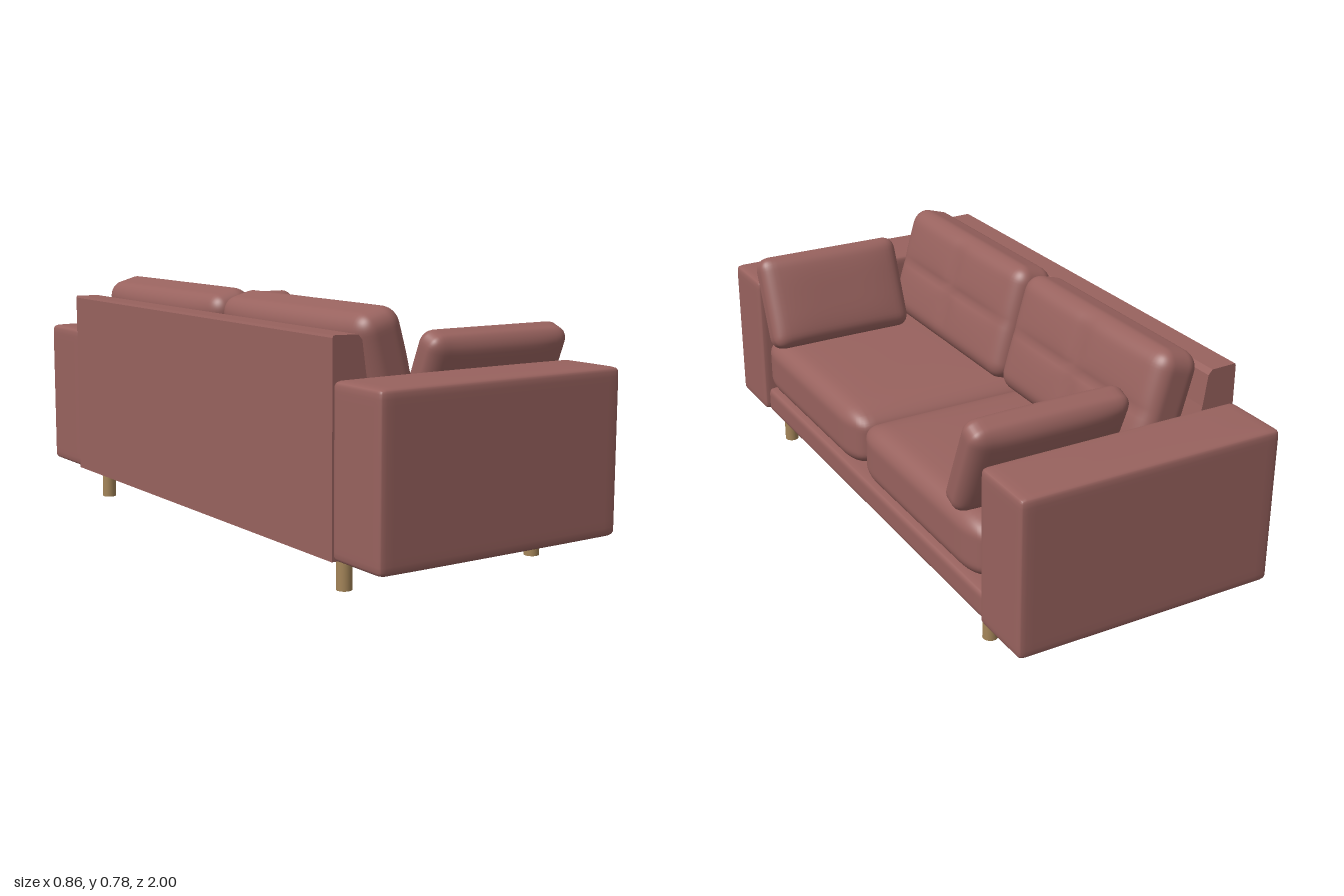
import * as THREE from 'three';
import { mergeVertices } from 'three/addons/utils/BufferGeometryUtils.js';

const fabric = new THREE.MeshStandardMaterial({ color: 0x98625e });
fabric.name = 'rose fabric';
const wood = new THREE.MeshStandardMaterial({ color: 0xa48559 });
wood.name = 'light wood';

// Rounded block; the faces along `axis` thin out towards their edges by `crown`.
function softBlock(size, radius, { axis = 'y', crown = 0, segments = 28, tuft = false } = {}) {
  const geo = new THREE.BoxGeometry(2, 2, 2, segments, segments, segments);
  geo.deleteAttribute('uv');
  geo.deleteAttribute('normal');
  const half = new THREE.Vector3(...size).multiplyScalar(0.5);
  const inner = half.clone().subScalar(radius);
  const outer = inner.clone().negate();
  const p = geo.attributes.position;
  const v = new THREE.Vector3();
  const q = new THREE.Vector3();
  for (let i = 0; i < p.count; i++) {
    v.fromBufferAttribute(p, i);
    // crowd the grid towards the edges so that they round smoothly
    v.set(Math.sin(v.x * Math.PI / 2), Math.sin(v.y * Math.PI / 2), Math.sin(v.z * Math.PI / 2)).multiply(half);
    q.copy(v).clamp(outer, inner);
    v.sub(q).setLength(radius).add(q);
    let flat = 1;
    for (const a of ['x', 'y', 'z']) if (a !== axis) flat *= 1 - (v[a] / half[a]) ** 4;
    v[axis] *= 1 - crown * (1 - flat);
    // stitched cross on the front face
    if (tuft && v.x > 0) {
      const groove = Math.max(Math.exp(-Math.abs(v.y) / 0.02), Math.exp(-Math.abs(v.z) / 0.03));
      v.x -= 0.01 * groove * flat;
    }
    p.setXYZ(i, v.x, v.y, v.z);
  }
  const smooth = mergeVertices(geo, 1e-5);
  smooth.computeVertexNormals();
  return smooth;
}

export function createModel() {
  const sofa = new THREE.Group();
  sofa.name = 'sofa';

  function add(name, geometry, material, x, y, z) {
    const mesh = new THREE.Mesh(geometry, material);
    mesh.name = name;
    mesh.position.set(x, y, z);
    sofa.add(mesh);
    return mesh;
  }

  // Base under the seat
  add('base', softBlock([0.82, 0.09, 1.57], 0.02, { segments: 16 }), fabric, -0.01, 0.147, 0);

  // Backrest with a sloping front
  const profile = new THREE.Shape([
    [-0.428, 0.102], [-0.25, 0.102], [-0.25, 0.3], [-0.318, 0.6],
    [-0.332, 0.695], [-0.345, 0.71], [-0.425, 0.712], [-0.428, 0.705],
  ].map(([x, y]) => new THREE.Vector2(x, y)));
  const back = new THREE.ExtrudeGeometry(profile, { depth: 1.57, bevelEnabled: false });
  add('backrest', back, fabric, 0, 0, -0.785);

  const armGeo = softBlock([0.84, 0.494, 0.218], 0.018, { crown: 0.012, segments: 20 });
  const seatGeo = softBlock([0.72, 0.215, 0.388], 0.06, { crown: 0.12 });
  seatGeo.scale(1, 1, 2);
  const backCushionGeo = softBlock([0.172, 0.385, 0.765], 0.055, { axis: 'x', crown: 0.16, segments: 36, tuft: true });
  const pillowGeo = softBlock([0.51, 0.318, 0.125], 0.042, { axis: 'z', crown: 0.3 });
  const legGeo = new THREE.CylinderGeometry(0.023, 0.023, 0.11, 24);

  for (const [side, s] of [['left', 1], ['right', -1]]) {
    add(side + ' arm', armGeo, fabric, -0.008, 0.349, s * 0.891);
    add(side + ' seat cushion', seatGeo, fabric, 0.053, 0.302, s * 0.39);

    // Leaning back cushion
    const cushion = add(side + ' back cushion', backCushionGeo, fabric, -0.207, 0.582, s * 0.388);
    cushion.rotation.z = 0.28;

    // Loose pillow leaning on the arm
    const pillow = add(side + ' loose pillow', pillowGeo, fabric, 0.172, 0.546, s * 0.687);
    pillow.rotation.x = s * 0.39;

    for (const [end, x] of [['front', 0.342], ['back', -0.345]]) {
      add(side + ' ' + end + ' leg', legGeo, wood, x, 0.055, s * 0.725);
    }
  }
  return sofa;
}
